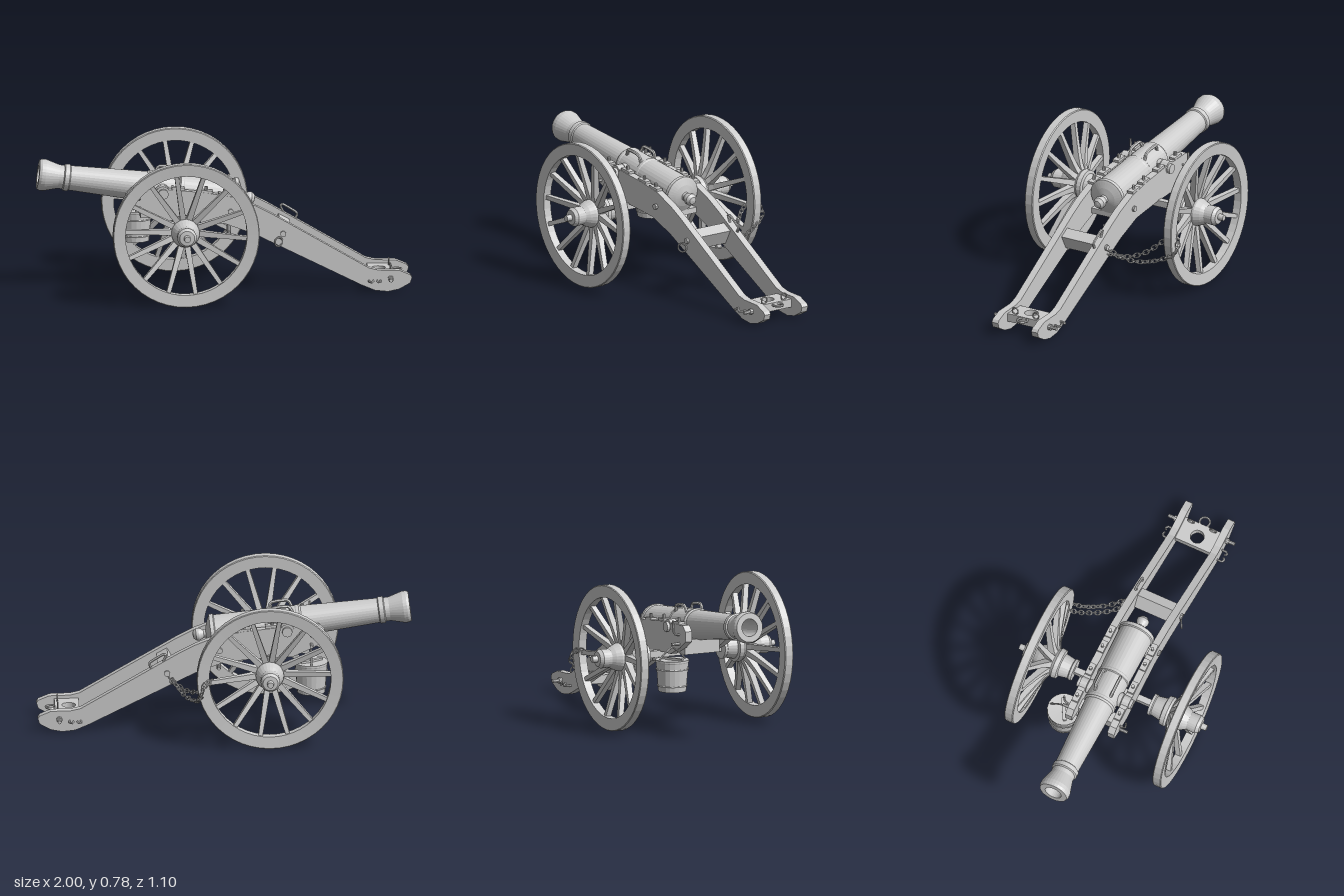
import * as THREE from 'three';

const mat = new THREE.MeshStandardMaterial({ color: 0xcccccc, flatShading: true, side: THREE.DoubleSide });
const V = (x, y, z) => new THREE.Vector3(x, y, z);

function add(parent, name, geo, pos = [0, 0, 0], rot = [0, 0, 0]) {
  const m = new THREE.Mesh(geo, mat);
  m.name = name;
  m.position.set(...pos);
  m.rotation.set(...rot);
  parent.add(m);
  return m;
}
const box = (x, y, z) => new THREE.BoxGeometry(x, y, z);
const cyl = (r, h, n = 12) => new THREE.CylinderGeometry(r, r, h, n);
const ring = (R, r) => new THREE.TorusGeometry(R, r, 6, 16);
const lathe = (pts, n = 32) => new THREE.LatheGeometry(pts.map(p => new THREE.Vector2(...p)), n);
const tube = (pts, r, n = 16) =>
  new THREE.TubeGeometry(new THREE.CatmullRomCurve3(pts.map(p => V(...p)), false, 'catmullrom', 0.2), n, r, 6);

// Dished wheel, axis along local +z (outwards)
function makeWheel() {
  const g = new THREE.Group();
  add(g, 'wheelRim', lathe([[0.325, 0.41], [0.388, 0.41], [0.392, 0.415], [0.392, 0.456],
    [0.388, 0.46], [0.325, 0.455], [0.325, 0.41]], 48), [0, 0, 0], [Math.PI / 2, 0, 0]);
  add(g, 'wheelHub', lathe([[0.018, 0.225], [0.06, 0.225], [0.06, 0.24], [0.055, 0.245], [0.065, 0.30],
    [0.082, 0.305], [0.085, 0.33], [0.078, 0.34], [0.075, 0.40], [0.062, 0.43], [0.05, 0.45],
    [0.052, 0.50], [0.04, 0.518], [0.018, 0.52], [0.016, 0.55], [0, 0.55]], 24), [0, 0, 0], [Math.PI / 2, 0, 0]);
  for (let i = 0; i < 14; i++) {
    // spoke: broad at the hub, curving outwards to the rim
    const geo = box(0.026, 0.28, 1, 1, 6, 1).toNonIndexed();
    const spoke = new THREE.BoxGeometry(1, 1, 1, 1, 6, 1);
    const p = spoke.attributes.position;
    for (let k = 0; k < p.count; k++) {
      const t = p.getY(k) + 0.5;
      const inner = 0.335 + 0.08 * Math.pow(t, 0.75), outer = 0.385 + 0.06 * t;
      p.setXYZ(k, p.getX(k) * (0.032 - 0.01 * t), 0.06 + 0.275 * t, p.getZ(k) > 0 ? outer : inner);
    }
    geo.dispose();
    add(g, 'spoke', spoke, [0, 0, 0], [0, 0, (i + 0.35) * Math.PI * 2 / 14]);
  }
  return g;
}

function makeBarrel() {
  const g = new THREE.Group();
  g.name = 'barrel';
  add(g, 'gunTube', lathe([[0, 0], [0.02, 0.004], [0.033, 0.02], [0.034, 0.035], [0.022, 0.06], [0.024, 0.072],
    [0.06, 0.082], [0.09, 0.095], [0.1, 0.1], [0.1, 0.12], [0.094, 0.125], [0.089, 0.39], [0.092, 0.395],
    [0.092, 0.41], [0.088, 0.415], [0.086, 0.56], [0.089, 0.565], [0.089, 0.58], [0.081, 0.59],
    [0.066, 1.0], [0.072, 1.005], [0.072, 1.03], [0.064, 1.035], [0.064, 1.06], [0.085, 1.135],
    [0.085, 1.155], [0.078, 1.17], [0.047, 1.17], [0.045, 0.9], [0, 0.9]]));
  add(g, 'trunnions', cyl(0.027, 0.32, 16), [0, 0.505, 0], [Math.PI / 2, 0, 0]);
  add(g, 'trunnionShoulders', cyl(0.04, 0.2, 16), [0, 0.505, 0], [Math.PI / 2, 0, 0]);
  // lifting handles on top of the barrel (local +x faces up)
  for (const s of [-1, 1])
    add(g, 'liftingHandle', tube([[0.07, 0.42, s * 0.045], [0.105, 0.435, s * 0.05], [0.11, 0.48, s * 0.05],
      [0.105, 0.53, s * 0.05], [0.07, 0.545, s * 0.045]], 0.009));
  g.position.set(0.17, 0.488, 0);
  g.rotation.z = Math.PI / 2 - 0.13;
  return g;
}

function makeCheek() {
  const s = new THREE.Shape([[-0.53, 0.5], [-0.53, 0.555], [-0.5, 0.585], [-0.28, 0.575], [-0.1, 0.555], [0.04, 0.53],
    [0.16, 0.482], [0.25, 0.435], [0.77, 0.13], [0.82, 0.118], [0.93, 0.115], [0.99, 0.09], [1, 0.075], [0.99, 0.045],
    [0.93, 0.012], [0.87, 0], [0.8, 0.008], [0.73, 0.038], [0.16, 0.325], [0, 0.385], [-0.2, 0.405],
    [-0.36, 0.41], [-0.47, 0.46]].map(p => new THREE.Vector2(...p)));
  return new THREE.ExtrudeGeometry(s, { depth: 0.04, bevelEnabled: false });
}

function makeBucket() {
  const g = new THREE.Group();
  g.name = 'bucket';
  add(g, 'bucketBody', lathe([[0, 0], [0.075, 0], [0.088, 0.155], [0.09, 0.16], [0.09, 0.17], [0, 0.165]], 20));
  for (const [y, r] of [[0.03, 0.079], [0.12, 0.087]])
    add(g, 'bucketHoop', ring(r, 0.004), [0, y, 0], [Math.PI / 2, 0, 0]);
  add(g, 'bucketLidGrip', box(0.13, 0.012, 0.02), [0, 0.172, 0], [0, 0.5, 0]);
  add(g, 'bucketBail', tube([[0, 0.16, -0.085], [0, 0.2, -0.05], [0, 0.235, 0], [0, 0.2, 0.05], [0, 0.16, 0.085]], 0.005));
  g.position.set(-0.457, 0.23, -0.185);
  return g;
}

// Chain links strung along a curve, alternate links turned a quarter
function makeChain(points) {
  const g = new THREE.Group();
  g.name = 'dragChain';
  const c = new THREE.CatmullRomCurve3(points.map(p => V(...p)));
  const n = Math.round(c.getLength() / 0.026);
  const link = new THREE.TorusGeometry(0.012, 0.0038, 5, 10).scale(1.5, 1, 1);
  for (let i = 0; i <= n; i++) {
    const m = add(g, 'chainLink', link, c.getPointAt(i / n).toArray());
    m.quaternion.setFromUnitVectors(V(1, 0, 0), c.getTangentAt(i / n));
    m.rotateX((i % 2) * Math.PI / 2 + 0.6);
  }
  return g;
}

export function createModel() {
  const model = new THREE.Group();
  model.name = 'fieldCannon';
  model.rotation.y = -0.018;

  model.add(makeBarrel());
  add(model, 'axle', box(0.034, 0.036, 0.9), [-0.23, 0.393, 0]);

  const cheek = makeCheek();
  for (const s of [-1, 1]) {
    const wheel = makeWheel();
    wheel.name = s > 0 ? 'leftWheel' : 'rightWheel';
    wheel.position.set(-0.23, 0.393, 0);
    wheel.scale.z = s;
    model.add(wheel);

    add(model, 'cheek', cheek, [0, 0, s > 0 ? 0.104 : -0.144]);
    // trunnion cap and fittings along the top edge
    add(model, 'capSquare', new THREE.CylinderGeometry(0.036, 0.036, 0.042, 14), [-0.332, 0.558, s * 0.124], [Math.PI / 2, 0, 0]);
    for (const [x, y] of [[-0.42, 0.588], [-0.25, 0.58], [-0.1, 0.56], [0, 0.543]]) {
      add(model, 'capPlate', box(0.07, 0.014, 0.036), [x, y, s * 0.124], [0, 0, -0.09]);
      add(model, 'capBolt', cyl(0.009, 0.03, 8), [x, y + 0.012, s * 0.124]);
    }
    add(model, 'toolHook', tube([[-0.46, 0.53, s * 0.14], [-0.46, 0.53, s * 0.165], [-0.46, 0.55, s * 0.178],
      [-0.46, 0.61, s * 0.182]], 0.006));
    add(model, 'sidePeg', cyl(0.009, 0.05, 8), [-0.46, 0.48, s * 0.165], [Math.PI / 2, 0, 0]);
    for (const [x, y] of [[0.31, 0.325], [0.03, 0.45]])
      add(model, 'cheekBolt', cyl(0.016, 0.014, 10), [x, y, s * 0.149], [Math.PI / 2, 0, 0]);

    // tail bolts, hooks and rings
    add(model, 'tailBoltHead', cyl(0.016, 0.02, 10), [0.885, 0.07, s * 0.15], [Math.PI / 2, 0, 0]);
    add(model, 'tailBolt', cyl(0.01, 0.06, 8), [0.885, 0.07, s * 0.165], [Math.PI / 2, 0, 0]);
    for (const [x, d] of [[0.77, 1], [0.83, -1]])
      add(model, 'tailHook', tube([[x, 0.06, s * 0.14], [x, 0.06, s * 0.17], [x + d * 0.012, 0.06, s * 0.18],
        [x + d * 0.022, 0.068, s * 0.172]], 0.006));
    add(model, 'tailRing', ring(0.018, 0.004), [0.89, 0.118, s * 0.065], [0, Math.PI / 2, 0]);
  }

  // cross members between the cheeks
  add(model, 'middleTransom', box(0.065, 0.09, 0.21), [0.31, 0.325, 0], [0, 0, -0.5]);
  add(model, 'frontTransom', box(0.06, 0.08, 0.21), [-0.42, 0.455, 0]);
  add(model, 'screwBed', box(0.06, 0.03, 0.21), [0.03, 0.395, 0]);
  add(model, 'elevatingScrew', cyl(0.013, 0.13, 10), [0.03, 0.36, 0]);
  add(model, 'screwHandle', cyl(0.008, 0.09, 8), [0.03, 0.31, 0], [Math.PI / 2, 0, 0]);

  // tail plate with the towing hole
  const plate = new THREE.Shape([[-0.065, -0.105], [0.065, -0.105], [0.065, 0.105], [-0.065, 0.105]]
    .map(p => new THREE.Vector2(...p)));
  plate.holes.push(new THREE.Path().absarc(-0.01, 0, 0.037, 0, Math.PI * 2, true));
  add(model, 'tailPlate', new THREE.ExtrudeGeometry(plate, { depth: 0.045, bevelEnabled: false }),
    [0.84, 0.055, 0], [-Math.PI / 2, 0, 0]);
  add(model, 'towRing', ring(0.028, 0.006), [0.925, 0.09, 0], [Math.PI / 2, 0, 0]);

  // right-hand side fittings: lifting grip, bucket and drag chain
  add(model, 'trailGrip', tube([[0.33, 0.385, -0.124], [0.315, 0.42, -0.124], [0.33, 0.425, -0.124],
    [0.395, 0.385, -0.124], [0.405, 0.37, -0.124], [0.39, 0.34, -0.124]], 0.007, 24));
  model.add(makeBucket());
  model.add(makeChain([[0.29, 0.3, -0.15], [0.22, 0.24, -0.26], [0.16, 0.25, -0.38], [0.14, 0.31, -0.475],
    [0.12, 0.37, -0.478], [0.085, 0.385, -0.445], [0.08, 0.36, -0.4], [0.15, 0.27, -0.29], [0.22, 0.25, -0.2],
    [0.28, 0.28, -0.15]]));

  // left-hand ring bolt
  add(model, 'trailRing', ring(0.024, 0.005), [0.285, 0.285, 0.16], [0, 0.5, 0]);
  return model;
}
